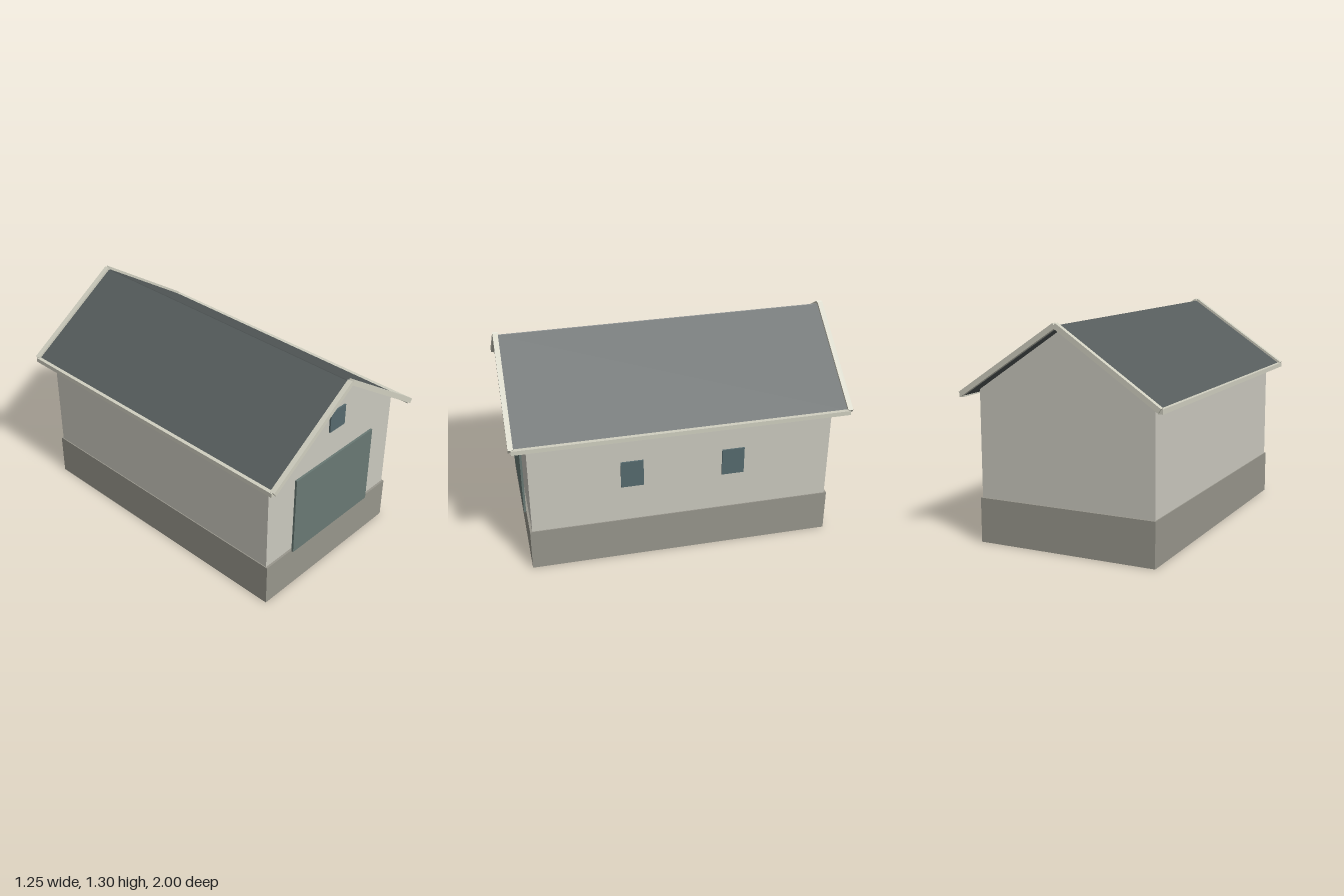
import * as THREE from 'three';

const mat = (color) => new THREE.MeshStandardMaterial({ color, flatShading: true });

export function createModel() {
  const group = new THREE.Group();
  const wallMat = mat(0xcbc9bf), baseMat = mat(0x98968c), roofMat = mat(0x565c5c);
  const trimMat = mat(0xd0cfc0), doorMat = mat(0x697974), glassMat = mat(0x566a6e);

  const add = (name, geometry, material) => {
    const mesh = new THREE.Mesh(geometry, material);
    mesh.name = name;
    group.add(mesh);
    return mesh;
  };
  // box given by its limits on each axis
  const box = (name, material, [x0, x1], [y0, y1], [z0, z1]) => {
    const mesh = add(name, new THREE.BoxGeometry(x1 - x0, y1 - y0, z1 - z0), material);
    mesh.position.set((x0 + x1) / 2, (y0 + y1) / 2, (z0 + z1) / 2);
    return mesh;
  };
  // sloping board: its upper edge runs from a to b, with the given thickness below
  const board = (name, material, a, b, thickness, [z0, z1], side) => {
    const dx = b[0] - a[0], dy = b[1] - a[1], length = Math.hypot(dx, dy);
    const nx = -dy / length, ny = dx / length;
    const mesh = add(name, new THREE.BoxGeometry(length, thickness, z1 - z0), material);
    mesh.position.set(
      side * ((a[0] + b[0]) / 2 - nx * thickness / 2),
      (a[1] + b[1]) / 2 - ny * thickness / 2,
      (z0 + z1) / 2);
    mesh.rotation.z = side * Math.atan2(dy, dx);
  };

  // plinth
  box('foundation', baseMat, [-0.553, 0.553], [0, 0.265], [-0.913, 0.913]);

  // gabled walls
  const gable = new THREE.Shape([
    [-0.547, 0.265], [0.547, 0.265], [0.547, 0.897], [0, 1.268], [-0.547, 0.897],
  ].map(([x, y]) => new THREE.Vector2(x, y)));
  const walls = new THREE.ExtrudeGeometry(gable, { depth: 1.8, bevelEnabled: false });
  walls.translate(0, 0, -0.9);
  add('walls', walls, wallMat);

  // roof slopes, verge boards and eave boards
  for (const side of [1, -1]) {
    const label = side > 0 ? 'left' : 'right';
    board(label + 'RoofSlope', roofMat, [0.004, 1.287], [0.61, 0.883], 0.018, [-0.975, 0.975], side);
    for (const end of [1, -1]) {
      const z = end > 0 ? [0.97, 1] : [-1, -0.97];
      board(label + (end > 0 ? 'Front' : 'Back') + 'VergeBoard', trimMat,
        [0.008, 1.302], [0.622, 0.891], 0.03, z, side);
    }
    box(label + 'EaveBoard', trimMat, side > 0 ? [0.6, 0.627] : [-0.627, -0.6],
      [0.86, 0.887], [-0.985, 0.985]);
  }

  // garage door and attic window on the front
  box('garageDoor', doorMat, [-0.343, 0.343], [0.26, 0.775], [0.914, 0.927]);
  box('atticWindow', glassMat, [-0.065, 0.065], [0.955, 1.085], [0.912, 0.922]);

  // two windows on the left wall
  for (const z of [0.302, -0.302]) {
    box('sideWindow', glassMat, [0.556, 0.565], [0.51, 0.68], [z - 0.067, z + 0.067]);
  }
  return group;
}
